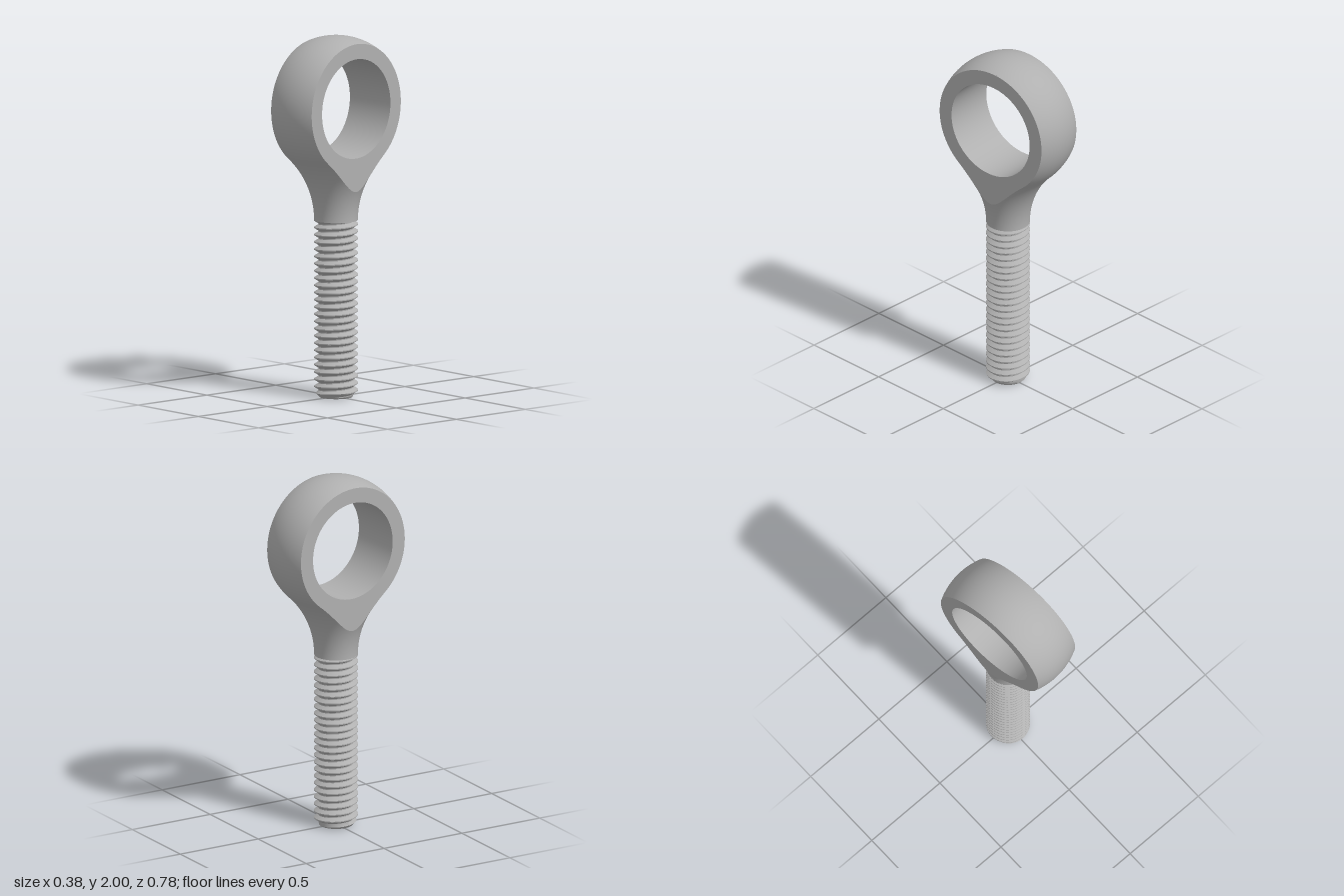
import * as THREE from 'three';
import { toCreasedNormals } from 'three/addons/utils/BufferGeometryUtils.js';

const EYE_Y = 1.611, EYE_R = 0.389, HALF_W = 0.151, BORE_R = 0.275;
const NECK_Y = 0.98, NECK_R = 0.12, TURN = 0.105;
const ROOT_R = 0.097, PITCH = 0.04, TIP_R = 0.09;

// Fillet arc tangent to both the neck cylinder and the spherical eye
const RISE = EYE_Y - NECK_Y;
const FILLET_R = (NECK_R ** 2 + RISE ** 2 - EYE_R ** 2) / (2 * (EYE_R - NECK_R));
const FILLET_X = NECK_R + FILLET_R;

// Indexed grid of rows x cols points; normals are optional
function gridGeometry(rows, cols, point, normal) {
  const pos = [], nor = [], index = [];
  for (let i = 0; i <= rows; i++) {
    for (let j = 0; j <= cols; j++) {
      pos.push(...point(i, j));
      if (normal) nor.push(...normal(i, j));
      if (i < rows && j < cols) {
        const a = i * (cols + 1) + j, b = a + cols + 1;
        index.push(a, a + 1, b, a + 1, b + 1, b);
      }
    }
  }
  const g = new THREE.BufferGeometry();
  g.setAttribute('position', new THREE.Float32BufferAttribute(pos, 3));
  if (normal) g.setAttribute('normal', new THREE.Float32BufferAttribute(nor, 3));
  g.setIndex(index);
  return g;
}

// Profile of neck, fillet and sphere: radius, height and outward normal
function bodyProfile() {
  const fillet = (a) => ({
    r: FILLET_X - FILLET_R * Math.cos(a), y: NECK_Y + FILLET_R * Math.sin(a),
    nr: Math.cos(a), ny: -Math.sin(a),
  });
  const sphere = (b) => ({
    r: EYE_R * Math.cos(b), y: EYE_Y + EYE_R * Math.sin(b),
    nr: Math.cos(b), ny: Math.sin(b),
  });
  const aFlat = Math.acos((FILLET_X - HALF_W) / FILLET_R);
  const aEnd = Math.atan2(RISE, FILLET_X);
  const bFlat = Math.acos(HALF_W / EYE_R);
  const points = [];
  const add = (fn, from, to, n, ease) => {
    for (let i = 0; i < n; i++) points.push(fn(from + (to - from) * ease(i / n)));
  };
  add(fillet, 0, aFlat, 10, (t) => t);
  const first = points.length;
  add(fillet, aFlat, aEnd, 22, (t) => t * t);
  add(sphere, -aEnd, bFlat, 56, (t) => 1 - (1 - t) ** 1.6);
  const last = points.length;
  add(sphere, bFlat, Math.PI / 2, 10, (t) => t);
  points.push(sphere(Math.PI / 2));
  return { points, first, last };
}

// Half of the turned body, its sides trimmed where the flats cut it
function bodyHalf(points) {
  const cols = 36;
  const angle = (p, j) =>
    Math.asin(Math.min(1, HALF_W / Math.max(p.r, 1e-6))) * (2 * j / cols - 1);
  return gridGeometry(points.length - 1, cols,
    (i, j) => {
      const p = points[i], t = angle(p, j);
      return [p.r * Math.sin(t), p.y, p.r * Math.cos(t)];
    },
    (i, j) => {
      const p = points[i], t = angle(p, j);
      return [p.nr * Math.sin(t), p.ny, p.nr * Math.cos(t)];
    });
}

// Flat side of the eye with the bore opening
function flatSide({ points, first, last }) {
  const edge = points.slice(first, last + 1).map(
    (p) => new THREE.Vector2(Math.sqrt(Math.max(0, p.r ** 2 - HALF_W ** 2)), p.y));
  const mirrored = edge.slice(1, -1).reverse().map((v) => new THREE.Vector2(-v.x, v.y));
  const shape = new THREE.Shape([...edge, ...mirrored]);
  const hole = new THREE.Path();
  hole.absarc(0, EYE_Y, BORE_R, 0, Math.PI * 2, true);
  shape.holes.push(hole);
  return new THREE.ShapeGeometry(shape, 48).translate(0, 0, HALF_W);
}

// Right-hand helical thread with a chamfered tip
function threadGeometry() {
  const turns = Math.ceil(NECK_Y / PITCH) + 1, cols = 64;
  const phases = [0, 0.14, 0.5, 0.64];
  const radiusAt = (phase) => {
    const f = phase - Math.floor(phase);
    let k = 0;
    if (f > 0.14 && f < 0.5) k = (f - 0.14) / 0.36;
    else if (f >= 0.5 && f <= 0.64) k = 1;
    else if (f > 0.64) k = (1 - f) / 0.36;
    return ROOT_R + (NECK_R - ROOT_R) * k;
  };
  const g = gridGeometry(turns * 4, cols, (i, j) => {
    const turn = j / cols, t = turn * Math.PI * 2;
    const raw = Math.floor(i / 4) - 1 + phases[i % 4] + turn;
    const y = THREE.MathUtils.clamp(raw * PITCH, 0, NECK_Y);
    const phase = y === raw * PITCH ? phases[i % 4] : y / PITCH - turn;
    const r = Math.min(radiusAt(phase), TIP_R + y);
    return [r * Math.sin(t), y, r * Math.cos(t)];
  });
  return toCreasedNormals(g, 0.6);
}

export function createModel() {
  const steel = new THREE.MeshStandardMaterial({ color: 0xb0b0b0 });
  steel.name = 'steel grey';
  const model = new THREE.Group();
  model.name = 'eyeBolt';
  const add = (parent, name, geometry) => {
    const mesh = new THREE.Mesh(geometry, steel);
    mesh.name = name;
    parent.add(mesh);
    return mesh;
  };

  // Eye and flared neck, turned slightly about the shank
  const eye = new THREE.Group();
  eye.name = 'eye';
  eye.rotation.y = TURN;
  model.add(eye);
  const profile = bodyProfile();
  const half = bodyHalf(profile.points);
  const flat = flatSide(profile);
  add(eye, 'frontBody', half);
  add(eye, 'backBody', half).rotation.y = Math.PI;
  add(eye, 'leftFlat', flat).rotation.y = Math.PI / 2;
  add(eye, 'rightFlat', flat).rotation.y = -Math.PI / 2;

  // Bore wall facing inward
  const wall = [new THREE.Vector2(BORE_R, HALF_W), new THREE.Vector2(BORE_R, -HALF_W)];
  const bore = add(eye, 'bore', new THREE.LatheGeometry(wall, 96).rotateZ(Math.PI / 2));
  bore.position.y = EYE_Y;

  // Underside of the neck, thread and tip
  add(model, 'neckUnderside', new THREE.CircleGeometry(NECK_R, 64).rotateX(Math.PI / 2))
    .position.y = NECK_Y;
  add(model, 'threadedShank', threadGeometry());
  add(model, 'shankTip', new THREE.CircleGeometry(TIP_R, 64).rotateX(Math.PI / 2));
  return model;
}
